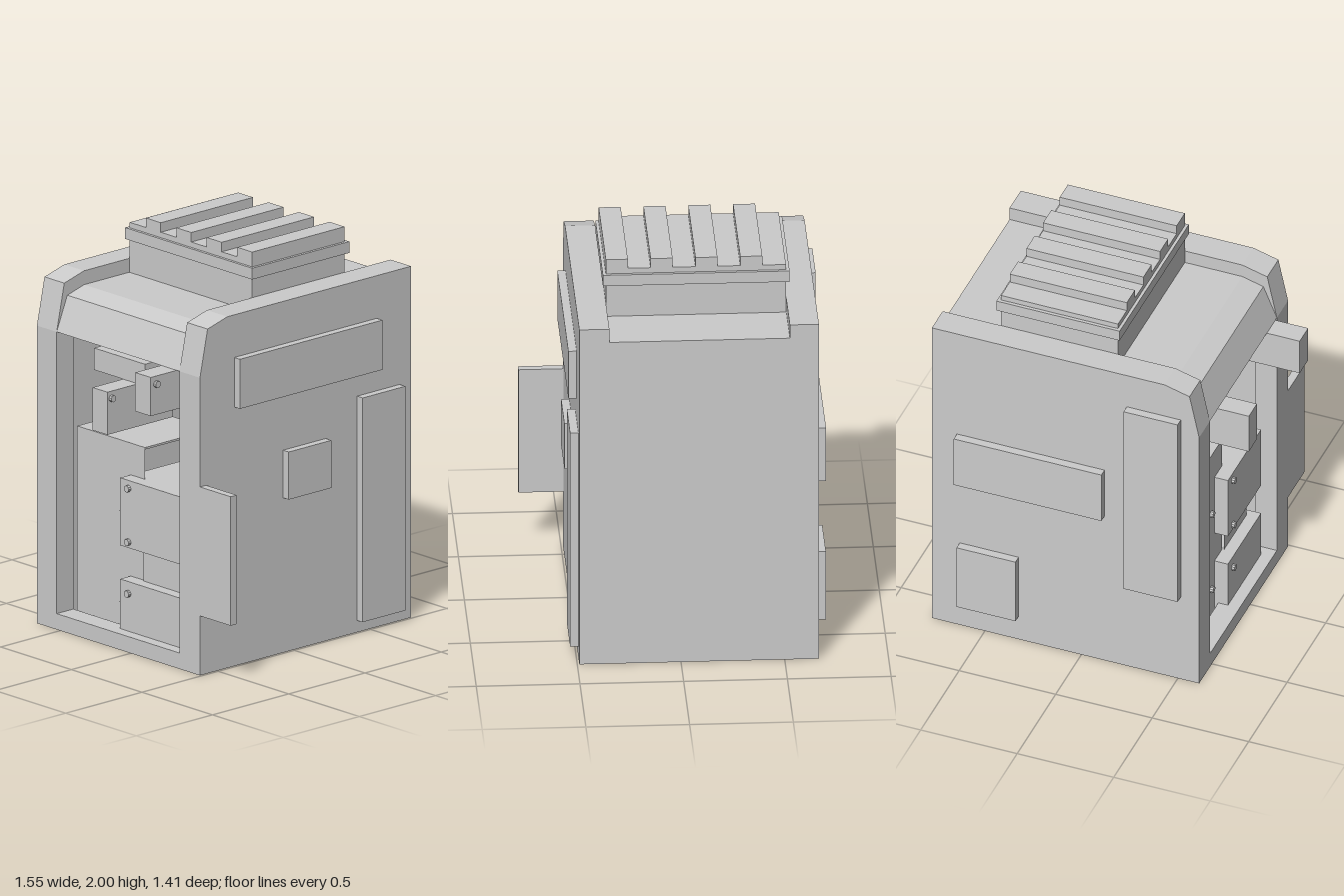
import * as THREE from 'three';

export function createModel() {
  const model = new THREE.Group();
  const mat = new THREE.MeshStandardMaterial({ color: 0xcccccc, flatShading: true, side: THREE.DoubleSide });
  const oneSided = new THREE.MeshStandardMaterial({ color: 0xcccccc, flatShading: true });

  const add = (name, geometry, material = mat) => {
    const mesh = new THREE.Mesh(geometry, material);
    mesh.name = name;
    model.add(mesh);
    return mesh;
  };
  // Box given by its limits on each axis
  const box = (name, x0, x1, y0, y1, z0, z1) =>
    add(name, new THREE.BoxGeometry(x1 - x0, y1 - y0, z1 - z0))
      .position.set((x0 + x1) / 2, (y0 + y1) / 2, (z0 + z1) / 2);
  // Flat cover facing the open side
  const cover = (name, x, y0, y1, z0, z1) =>
    add(name, new THREE.PlaneGeometry(z1 - z0, y1 - y0).rotateY(-Math.PI / 2), oneSided)
      .position.set(x, (y0 + y1) / 2, (z0 + z1) / 2);
  // Side profile pushed along z
  const slab = (name, points, z0, z1) => {
    const shape = new THREE.Shape(points.map(([x, y]) => new THREE.Vector2(x, y)));
    const geometry = new THREE.ExtrudeGeometry(shape, { depth: z1 - z0, bevelEnabled: false });
    add(name, geometry.translate(0, 0, z0));
  };
  const bolt = (x, y, z, alongX) => {
    const mesh = add('bolt', new THREE.CylinderGeometry(0.017, 0.017, 0.016, 10));
    mesh.position.set(x, y, z);
    if (alongX) mesh.rotation.z = Math.PI / 2;
    else mesh.rotation.x = Math.PI / 2;
  };

  // Cabinet shell: thin sheet, raised front and back frames, open below
  const outline = [[-0.61, 0], [-0.61, 1.5], [-0.56, 1.735], [-0.43, 1.77], [0.775, 1.77], [0.775, 0]];
  const rim = [...outline, [0.77, 0], [0.77, 1.765], [-0.43, 1.765], [-0.556, 1.731], [-0.605, 1.5], [-0.605, 0]];
  const jamb = [...outline, [0.77, 0], [0.77, 1.69], [-0.42, 1.69], [-0.5, 1.66], [-0.5, 0]];
  slab('frontWall', outline, 0.485, 0.49);
  slab('frontRim', rim, 0.35, 0.485);
  slab('frontJamb', jamb, 0.345, 0.35);
  slab('backWall', outline, -0.665, -0.66);
  slab('backRim', rim, -0.66, -0.53);
  slab('backJamb', jamb, -0.53, -0.525);

  // Recessed roof, bent down on the open side, with the closed side wall
  slab('roofAndSideWall', [
    [-0.61, 1.5], [-0.54, 1.67], [-0.43, 1.7], [0.775, 1.7], [0.775, 0],
    [0.77, 0], [0.77, 1.695], [-0.43, 1.695], [-0.536, 1.666], [-0.604, 1.5],
  ], -0.525, 0.345);

  // Sill of the open side
  box('sillFace', -0.61, -0.605, 0, 0.08, -0.525, 0.345);
  box('sillLedge', -0.61, -0.5, 0.075, 0.08, -0.525, 0.345);

  // Raised panels: x0, x1, y0, y1
  [[-0.385, 0.55, 1.305, 1.555], [0.42, 0.7, 0.06, 1.19], [-0.065, 0.215, 0.78, 1.02]]
    .forEach(([a, b, c, d]) => box('frontPanel', a, b, c, d, 0.49, 0.53));
  [[-0.515, -0.235, 0.5, 1.58], [-0.12, 0.645, 0.88, 1.16], [0.325, 0.63, 0.14, 0.5]]
    .forEach(([a, b, c, d]) => box('backPanel', a, b, c, d, -0.707, -0.665));

  // Upright fin at the front corner
  box('sideFin', -0.61, -0.57, 0.3, 0.95, 0.49, 0.707);

  // Roof vent with collar and cross ribs
  box('ventBase', -0.133, 0.473, 1.695, 1.952, -0.523, 0.345);
  box('ventCollar', -0.148, 0.49, 1.868, 1.925, -0.54, 0.36);
  for (let i = 0; i < 4; i++) {
    const z = 0.345 - i * 0.216;
    box('ventRib', -0.133, 0.473, 1.952, 2, z - 0.106, z);
  }

  // Arms reaching out of the open side
  box('upperArm', -0.78, -0.3, 1.305, 1.5, 0.215, 0.325);
  box('lowerArm', -0.68, -0.25, 1.095, 1.31, -0.195, -0.09);
  box('armMount', -0.48, -0.1, 1.31, 1.42, -0.4, -0.04);
  bolt(-0.745, 1.46, 0.333);
  bolt(-0.655, 1.275, -0.08);

  // Inner machinery: column cover and two hollow blocks, open below
  cover('columnCover', -0.48, 0.02, 1, -0.52, -0.04);
  box('columnTop', -0.48, -0.04, 0.99, 1, -0.52, -0.04);
  for (const [y0, y1] of [[0.5, 0.84], [0.05, 0.33]]) {
    cover('blockCover', -0.55, y0, y1, -0.14, 0.29);
    box('blockBack', -0.55, -0.11, y0, y1, -0.14, -0.04);
    box('blockTop', -0.55, -0.11, y1 - 0.01, y1, -0.04, 0.29);
  }
  box('innerFoot', 0, 0.25, 0, 0.23, -0.14, -0.04);
  cover('blockSpine', -0.49, 0.33, 0.5, -0.04, 0.25);
  [0.8, 0.53, 0.27].forEach((y) => bolt(-0.558, y, -0.08, true));
  [0.65, 0.19].forEach((y) => bolt(-0.488, y, -0.185, true));

  return model;
}
